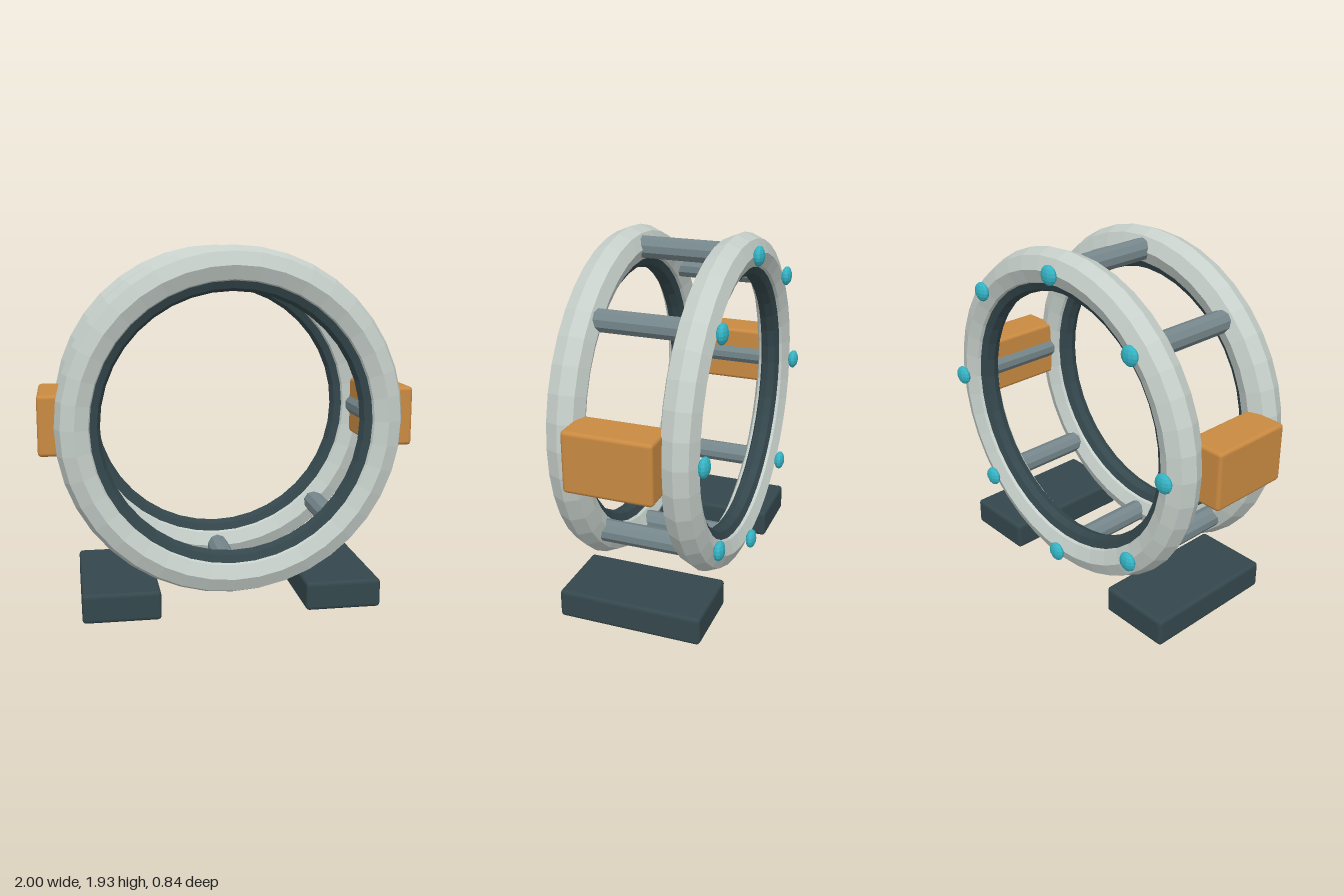
import * as THREE from 'three';
import { RoundedBoxGeometry } from 'three/addons/geometries/RoundedBoxGeometry.js';

const CENTRE_Y = 1.015;
const RING_RADIUS = 0.815;
const FRONT_Z = 0.32;
const BACK_Z = -0.27;

function material(name, color, flatShading = true) {
  const m = new THREE.MeshStandardMaterial({ color, flatShading });
  m.name = name;
  return m;
}

export function createModel() {
  const paleMetal = material('paleMetal', 0xc6cfca);
  const steel = material('steelGrey', 0x75868b);
  const dark = material('darkSlate', 0x34474c);
  const orange = material('orange', 0xc98a41, false);
  const darkBase = dark;
  const cyan = material('cyan', 0x35b4c4);

  const model = new THREE.Group();
  model.name = 'ringGate';
  const add = (name, geometry, mat, x, y, z) => {
    const mesh = new THREE.Mesh(geometry, mat);
    mesh.name = name;
    mesh.position.set(x, y, z);
    model.add(mesh);
    return mesh;
  };

  // Two octagonal-section rings, each with a dark inner lining
  const ringGeometry = new THREE.TorusGeometry(RING_RADIUS, 0.1, 8, 40);
  const liningGeometry = new THREE.TorusGeometry(0.738, 0.055, 8, 40);
  for (const [side, z] of [['front', FRONT_Z], ['back', BACK_Z]]) {
    add(`${side}Ring`, ringGeometry, paleMetal, 0, CENTRE_Y, z);
    add(`${side}Lining`, liningGeometry, dark, 0, CENTRE_Y, z);
  }

  // Eight struts joining the rings, each with a light on the back face
  const strutGeometry = new THREE.CylinderGeometry(0.06, 0.06, FRONT_Z - BACK_Z, 10);
  strutGeometry.rotateX(Math.PI / 2);
  const lightGeometry = new THREE.SphereGeometry(0.053, 10, 8);
  lightGeometry.scale(1, 1, 0.53);
  for (let i = 0; i < 8; i++) {
    const angle = (i * Math.PI) / 4;
    const x = RING_RADIUS * Math.cos(angle);
    const y = CENTRE_Y + RING_RADIUS * Math.sin(angle);
    add('strut', strutGeometry, steel, x, y, (FRONT_Z + BACK_Z) / 2);
    add('backLight', lightGeometry, cyan, x, y, -0.393);
  }

  // Side housings and base feet, mirrored
  const housingGeometry = new RoundedBoxGeometry(0.22, 0.32, 0.465, 2, 0.02);
  const footGeometry = new RoundedBoxGeometry(0.41, 0.155, 0.78, 2, 0.02);
  for (const [side, s] of [['left', 1], ['right', -1]]) {
    add(`${side}Housing`, housingGeometry, orange, s * 0.89, CENTRE_Y, 0.025);
    add(`${side}Foot`, footGeometry, darkBase, s * 0.593, 0.0775, 0.025);
  }

  return model;
}
